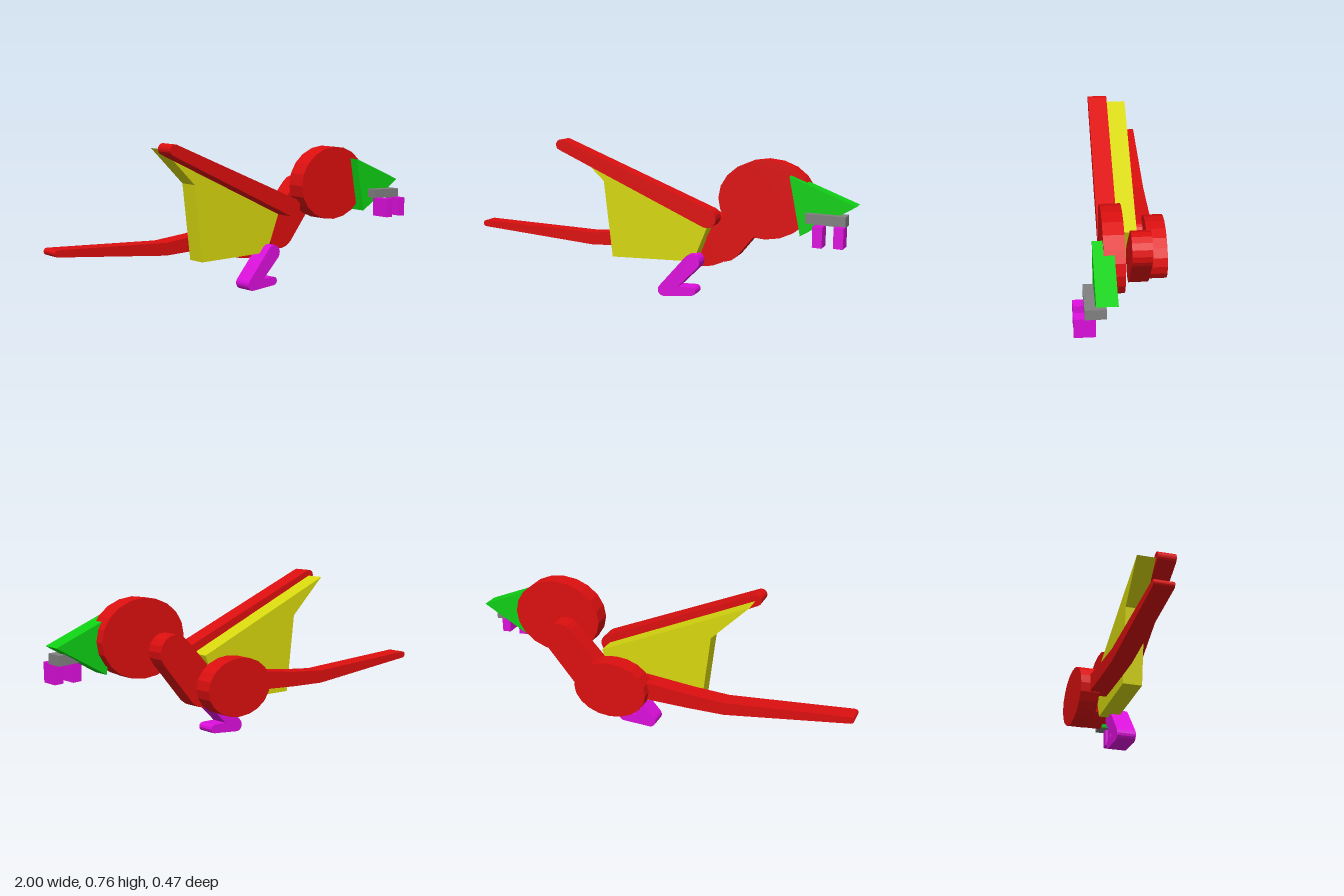
import * as THREE from 'three';

const T = 0.0933; // thickness of every layer

const material = (name, color) => {
  const m = new THREE.MeshStandardMaterial({ color });
  m.name = name;
  return m;
};

// Points of an arc from angle a to angle b
function arc(x, y, rx, ry, a, b, n) {
  return Array.from({ length: n + 1 }, (_, i) => {
    const t = a + ((b - a) * i) / n;
    return [x + rx * Math.cos(t), y + ry * Math.sin(t)];
  });
}

const ellipse = (x, y, rx, ry) => arc(x, y, rx, ry, 0, Math.PI * 2, 20).slice(0, -1);

// Tapered round-ended limb through [x, y, radius] stations
function limb(stations) {
  const last = stations.length - 1;
  const angle = (i, j) => Math.atan2(stations[j][1] - stations[i][1], stations[j][0] - stations[i][0]);
  const right = [], left = [];
  for (let i = 1; i < last; i++) {
    const [x, y, r] = stations[i];
    const a = (angle(i - 1, i) + angle(i, i + 1)) / 2;
    right.push([x + r * Math.sin(a), y - r * Math.cos(a)]);
    left.unshift([x - r * Math.sin(a), y + r * Math.cos(a)]);
  }
  const cap = (i, a) => arc(stations[i][0], stations[i][1], stations[i][2], stations[i][2], a - Math.PI / 2, a + Math.PI / 2, 8);
  return [...right, ...cap(last, angle(last - 1, last)), ...left, ...cap(0, angle(0, 1) + Math.PI)];
}

export function createModel() {
  const model = new THREE.Group();
  const red = material('red', 0xdd0f0f);
  const yellow = material('yellow', 0xd8d80f);
  const magenta = material('magenta', 0xdd0fdd);
  const green = material('green', 0x0fd015);
  const grey = material('grey', 0x808080);

  // Flat slab cut from an outline; layer counts half thicknesses from the centre
  function slab(name, mat, layer, points) {
    const shape = new THREE.Shape(points.map(([x, y]) => new THREE.Vector2(x, y)));
    const geometry = new THREE.ExtrudeGeometry(shape, { depth: T, bevelEnabled: false });
    geometry.translate(0, 0, (layer * T) / 2 - T / 2);
    const mesh = new THREE.Mesh(geometry, mat);
    mesh.name = name;
    model.add(mesh);
  }

  // Body, tail and neck
  slab('body', red, -4, ellipse(0.185, 0.263, 0.186, 0.14));
  slab('tail', red, -3, limb([[-0.983, 0.29, 0.016], [-0.38, 0.241, 0.031], [-0.2, 0.25, 0.036], [0.045, 0.27, 0.045]]));
  slab('neck', red, -2, limb([[0.325, 0.261, 0.09], [0.488, 0.447, 0.083]]));

  // Wing
  slab('wingMembrane', yellow, -1, [[-0.465, 0.73], [-0.28, 0.55], [-0.235, 0.172], [0.185, 0.172], [0.28, 0.405]]);
  slab('wingArm', red, 1, limb([[-0.468, 0.732, 0.027], [0.28, 0.4, 0.045]]));

  // Bent leg: hip, heel and toe rounded, with a sharp inner ankle
  slab('leg', magenta, 0, [
    ...arc(0.19, 0.175, 0.04, 0.04, -0.7, 2.4, 8),
    ...arc(0.05, 0.031, 0.031, 0.031, 2.4, Math.PI * 1.5, 6),
    ...arc(0.19, 0.031, 0.021, 0.021, -Math.PI / 2, Math.PI / 2, 6),
    [0.122, 0.052],
  ]);

  // Head, beak, jaw and teeth
  slab('head', red, 1, ellipse(0.564, 0.503, 0.227, 0.187));
  slab('beak', green, 2, [[0.687, 0.622], [0.74, 0.348], [0.998, 0.495]]);
  slab('jaw', grey, 3, [[0.773, 0.46], [0.773, 0.417], [0.957, 0.403], [0.957, 0.452]]);
  for (const x of [0.815, 0.911]) {
    slab('tooth', magenta, 4, [[x, 0.41], [x, 0.315], [x + 0.044, 0.312], [x + 0.046, 0.408]]);
  }
  return model;
}
